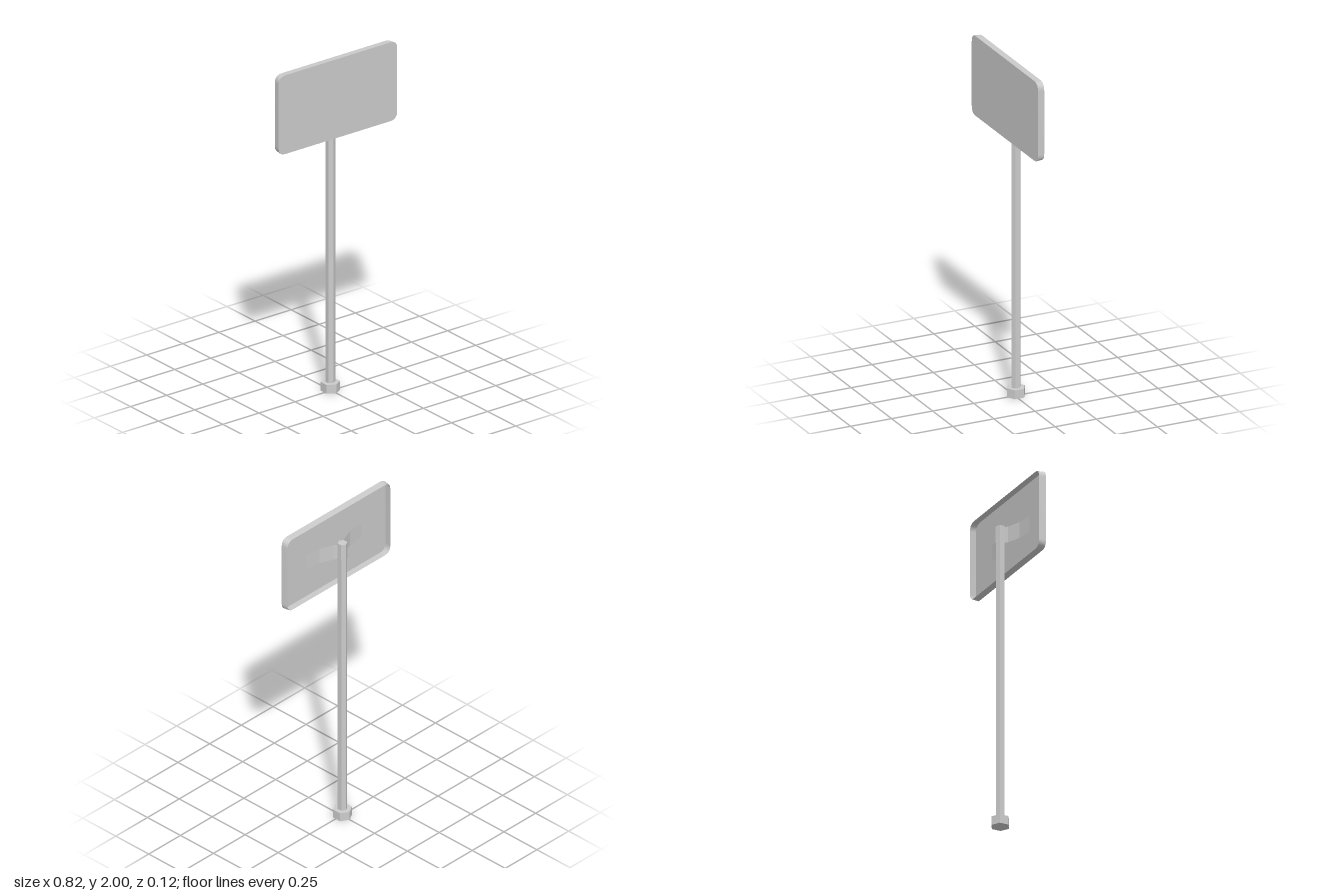
import * as THREE from 'three';

const material = new THREE.MeshStandardMaterial({ color: 0xcccccc });
const sheetMaterial = new THREE.MeshStandardMaterial({ color: 0xcccccc, side: THREE.DoubleSide });
const flatMaterial = new THREE.MeshStandardMaterial({ color: 0xcccccc, side: THREE.DoubleSide, flatShading: true });

const AXIS_Z = -0.007; // pole axis, slightly behind centre

function roundedRect(w, h, r) {
  const s = new THREE.Shape();
  const x = w / 2, y = h / 2;
  s.moveTo(-x + r, -y);
  s.lineTo(x - r, -y).quadraticCurveTo(x, -y, x, -y + r);
  s.lineTo(x, y - r).quadraticCurveTo(x, y, x - r, y);
  s.lineTo(-x + r, y).quadraticCurveTo(-x, y, -x, y - r);
  s.lineTo(-x, -y + r).quadraticCurveTo(-x, -y, -x + r, -y);
  return s;
}

// Joins two matching rows of points into a strip of quads
function strip(rowA, rowB) {
  const pos = [], idx = [];
  rowA.forEach((a, i) => {
    pos.push(...a, ...rowB[i]);
    if (i > 0) {
      const k = 2 * i;
      idx.push(k - 2, k, k - 1, k - 1, k, k + 1);
    }
  });
  const g = new THREE.BufferGeometry();
  g.setAttribute('position', new THREE.Float32BufferAttribute(pos, 3));
  g.setIndex(idx);
  g.computeVertexNormals();
  return g;
}

function hexPrism(name, radius, y0, y1) {
  const mesh = new THREE.Mesh(new THREE.CylinderGeometry(radius, radius, y1 - y0, 6), material.clone());
  mesh.material.flatShading = true;
  mesh.position.set(0, (y0 + y1) / 2, AXIS_Z);
  mesh.name = name;
  return mesh;
}

export function createModel() {
  const model = new THREE.Group();
  model.name = 'signPost';

  // Hexagonal foot and pole
  model.add(hexPrism('foot', 0.054, 0, 0.052));
  model.add(hexPrism('pole', 0.027, 0.052, 1.808));

  // Sign panel: a thin tray, open at the back, with a slightly tapering rim
  const panel = new THREE.Group();
  panel.name = 'signPanel';
  const outline = roundedRect(0.82, 0.47, 0.045);
  const face = new THREE.Mesh(new THREE.ShapeGeometry(outline, 4), sheetMaterial);
  face.position.z = 0.06;
  face.name = 'panelFace';
  const pts = outline.getPoints(4);
  const rim = new THREE.Mesh(strip(
    pts.map(p => [p.x, p.y, 0.06]),
    pts.map(p => [p.x * 0.989, p.y * 0.989, 0.02])
  ), sheetMaterial);
  rim.name = 'panelRim';
  panel.add(face, rim);
  panel.position.y = 1.765;
  model.add(panel);

  // Bracket: a sheet band wrapped round the pole and fixed to the panel
  const half = [[0.025, -0.021], [0.025, 0.007], [0.04, 0.02], [0.12, 0.05], [0.22, 0.059]];
  const path = [...half.map(([x, z]) => [-x, z]).reverse(), [0, -0.0355], ...half];
  const bracket = new THREE.Mesh(strip(
    path.map(([x, z]) => [x, 1.705, z]),
    path.map(([x, z]) => [x, 1.8, z])
  ), flatMaterial);
  bracket.name = 'bracket';
  model.add(bracket);

  return model;
}
